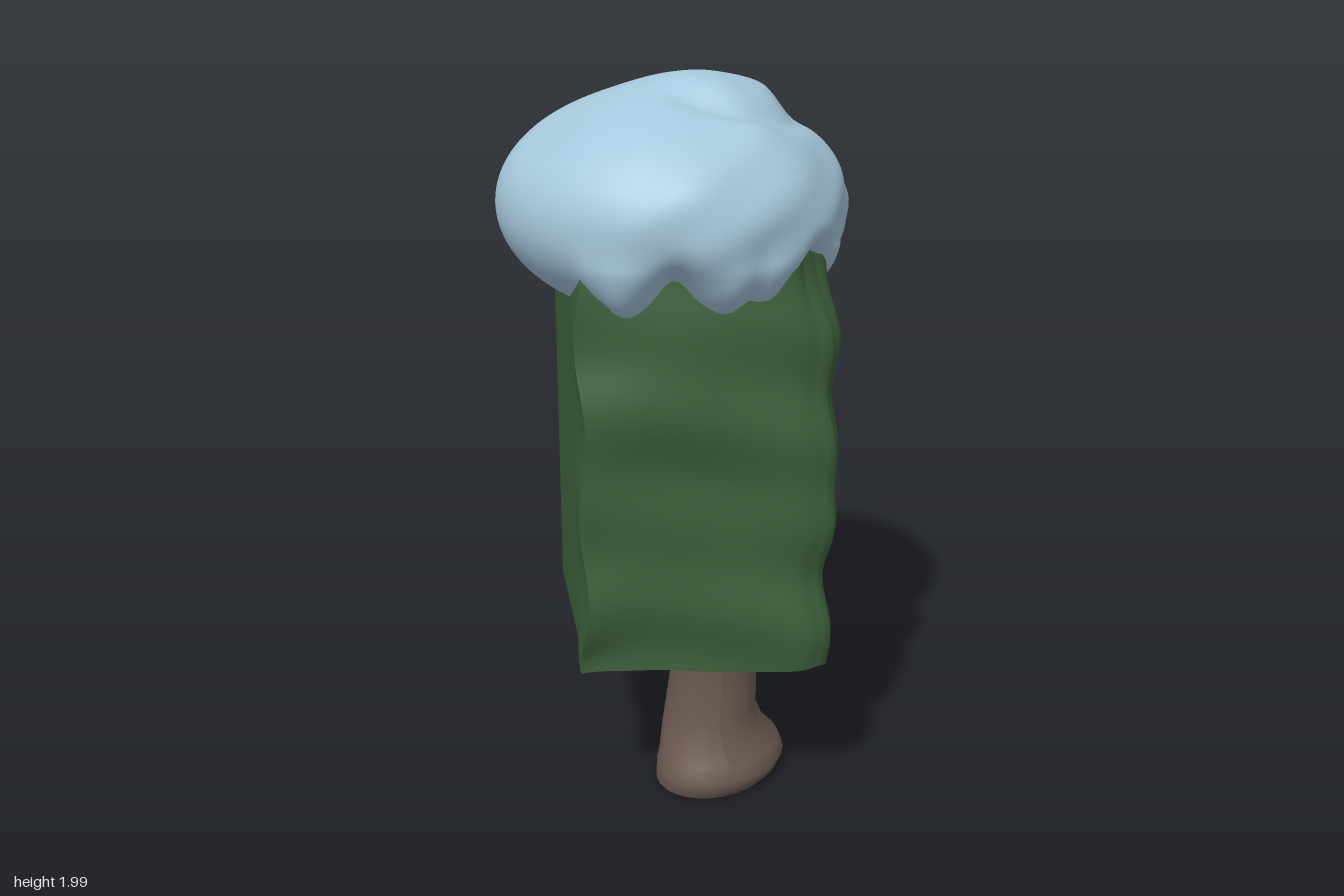
import * as THREE from 'three';
import { mergeVertices } from 'three/addons/utils/BufferGeometryUtils.js';

const { smoothstep, lerp } = THREE.MathUtils;
const bell = (d, w) => Math.exp(-(d * d) / (w * w));

function part(name, geometry, color) {
  geometry.computeVertexNormals();
  const mesh = new THREE.Mesh(geometry, new THREE.MeshStandardMaterial({ color }));
  mesh.name = name;
  return mesh;
}

// Moves every vertex of a geometry by a rule
function reshape(geometry, rule) {
  const p = geometry.attributes.position;
  const v = new THREE.Vector3();
  for (let i = 0; i < p.count; i++) {
    v.fromBufferAttribute(p, i);
    rule(v);
    p.setXYZ(i, v.x, v.y, v.z);
  }
  return geometry;
}

// Trunk outline per level, bottom to top: y, xMin, xMax, zMin, zMax
const TRUNK = [
  [0.005, -0.07, 0.28, -0.092, 0.24],
  [0.03, -0.07, 0.3, -0.09, 0.255],
  [0.06, -0.07, 0.31, -0.085, 0.26],
  [0.1, -0.06, 0.295, -0.075, 0.24],
  [0.15, -0.05, 0.25, -0.07, 0.215],
  [0.22, -0.037, 0.222, -0.055, 0.2],
  [0.34, -0.022, 0.222, -0.04, 0.195],
  [0.42, -0.024, 0.23, -0.043, 0.2],
  [0.55, -0.04, 0.25, -0.06, 0.215],
];

function trunk() {
  const rows = TRUNK.length - 1;
  const geo = new THREE.CylinderGeometry(1, 1, 1, 28, rows);
  reshape(geo, (v) => {
    const [y, x0, x1, z0, z1] = TRUNK[Math.round((v.y + 0.5) * rows)];
    // One side of the foot is chipped upward, and the foot spreads diagonally
    const chip = y < 0.05 ? 0.028 * Math.max(0, 0.6 * v.x - 0.8 * v.z) : 0;
    const skew = 0.2 * smoothstep(-y, -0.22, -0.08);
    const across = v.z * Math.cos(skew) - v.x * Math.sin(skew);
    v.set(lerp(x0, x1, (v.x + 1) / 2), y + chip, lerp(z0, z1, (across + 1) / 2));
  });
  return part('trunk', geo, 0x6b5a50);
}

// Foliage block: a four-cornered column, wavy on the front and the +x side
const A = [-0.29, -0.27], B = [0.38, -0.27], C = [0.375, 0.385], D = [-0.293, 0.34];
const TOP = 1.67;

function foliagePoint(out, x, z, t) {
  const wx = smoothstep(x, 0.12, 0.34);
  const wz = smoothstep(z, 0.12, 0.33);
  const w = Math.max(wx, wz);
  const bottom = 0.505 - 0.025 * wz - 0.006 * wx + 0.008 * w * Math.sin(11 * x + 9 * z);
  const y = lerp(bottom, TOP, t);
  // Uneven dents running around the two wavy sides
  const s = x - z;
  const dent = 0.008 * Math.sin(13 * y + 1.8 * Math.sin(6 * s + 1)) + 0.006 * Math.sin(24 * y + 4 * s)
    + 0.005 * Math.sin(10 * s - 5 * y);
  const taper = smoothstep(y, 1.25, TOP);
  const low = smoothstep(-y, -0.6, -0.5);
  const flare = 0.02 * smoothstep(-y, -0.75, -0.5);
  const nearC = bell(Math.hypot(x - C[0], z - C[1]), 0.07);
  const round = nearC * (0.03 + 0.025 * taper);
  // The edge at the back of the wavy side steps in, most of all at its foot
  const backEdge = wx * smoothstep(-z, 0, 0.27)
    * (0.03 + 0.045 * low - 0.04 * bell(y - 0.65, 0.08) - 0.02 * bell(y - 1.5, 0.12));
  const frontEdge = wz * smoothstep(-x, 0.15, 0.29);
  out.set(
    x + wx * (dent - 0.035 * taper) - round - backEdge - frontEdge * 0.01 * Math.sin(14 * y + 1.1),
    y,
    z + wz * (dent + flare * wx - 0.03 * taper) - round - frontEdge * 0.025 * low
  );
}

function foliage() {
  const group = new THREE.Group();
  group.name = 'foliage';
  const add = (name, nu, nv, map) => {
    const geo = reshape(new THREE.PlaneGeometry(1, 1, nu, nv), (v) => map(v, v.x + 0.5, v.y + 0.5));
    group.add(part(name, geo, 0x3c5f3a));
  };
  const walls = { wavyWall: [D, C, B], backWall: [B, A], flatSideWall: [A, D] };
  for (const [name, corners] of Object.entries(walls)) {
    const n = corners.length - 1;
    add(name, 24 * n, 48, (v, u, t) => {
      const k = Math.min(Math.floor(u * n + 1e-6), n - 1);
      const [p, q] = [corners[k], corners[k + 1]];
      foliagePoint(v, lerp(p[0], q[0], u * n - k), lerp(p[1], q[1], u * n - k), t);
    });
  }
  // Underside and top close the column
  const across = (v, u, f, t) =>
    foliagePoint(v, lerp(lerp(A[0], B[0], u), lerp(D[0], C[0], u), f),
      lerp(lerp(A[1], B[1], u), lerp(D[1], C[1], u), f), t);
  add('underside', 24, 24, (v, u, f) => across(v, u, f, 0));
  add('topFace', 24, 24, (v, u, f) => across(v, u, 1 - f, 1));
  return group;
}

// Drips of the snow and the notches between them:
// angle from +x towards +z in degrees, width, strength
const DRIPS = [[117, 12, 1], [77, 10, 0.85], [62, 10, 0.9], [27, 11, 0.9], [12, 9, 0.75], [-3, 10, 1]];
const NOTCHES = [[98, 8, 1], [45, 6, 1], [-20, 8, 0.9]];
const strongest = (list, deg) => Math.max(...list.map(([a, width, s]) => s * bell(deg - a, width)));

function snowCap() {
  const ball = new THREE.SphereGeometry(1, 120, 72);
  ball.deleteAttribute('uv');
  ball.deleteAttribute('normal');
  const geo = mergeVertices(ball, 1e-4);
  reshape(geo, (v) => {
    const angle = Math.atan2(v.z, v.x);
    const deg = THREE.MathUtils.radToDeg(angle);
    const flat = Math.hypot(v.x, v.z);
    if (v.y < 0) {
      // Drips stay just outside the foliage before they curl in
      const drip = strongest(DRIPS, deg) * smoothstep(-v.y, 0, 0.4);
      const reach = Math.max(1.025, 0.86 / Math.max(Math.abs(Math.cos(angle)), Math.abs(Math.sin(angle))));
      const r = Math.pow(flat, lerp(1, 0.3, drip)) * lerp(1, Math.min(reach, 1.05), drip);
      const height = lerp(0.29, 0.25, drip) - 0.1 * strongest(NOTCHES, deg);
      v.set(-0.01 + 0.45 * r * Math.cos(angle), 1.67 + height * v.y, 0.443 * r * Math.sin(angle));
    } else {
      v.set(-0.01 + 0.45 * v.x, 1.67 + 0.29 * v.y, 0.443 * v.z);
    }
    // A raised crown ends in a wavering furrow towards the front; the back is smooth
    const { x, z } = v;
    const up = smoothstep(v.y, 1.7, 1.85);
    const turn = Math.atan2(z + 0.04, x - 0.1);
    const fromCrown = Math.hypot(x - 0.1, z + 0.04) + 0.02 * Math.sin(3 * turn + 1);
    const forward = smoothstep(x + z, -0.05, 0.22);
    v.y += up * (0.022 * forward * (1 - smoothstep(fromCrown, 0.15, 0.24))
      - 0.016 * forward * bell(fromCrown - 0.23, 0.04)
      + 0.033 * bell(Math.hypot(x - 0.04, z), 0.16)
      + 0.012 * bell(Math.hypot(x - 0.23, z + 0.02), 0.08)
      + 0.018 * bell(Math.hypot(x - 0.17, z - 0.27), 0.09)
      - 0.02 * bell(Math.hypot(x + 0.33, z - 0.08), 0.09));
    // Lumps on the front and the +x side
    const front = smoothstep(x + z, 0.1, 0.4) * smoothstep(v.y, 1.45, 1.6);
    const push = 1 + 0.015 * front * Math.sin(9 * angle + 14 * v.y) * Math.sin(22 * v.y);
    v.x = v.x * push + 0.015 * bell(deg, 9) * bell(v.y - 1.65, 0.06);
    v.z *= push;
  });
  return part('snowCap', geo, 0xa6c8dc);
}

export function createModel() {
  const model = new THREE.Group();
  model.name = 'snowyTree';
  model.add(trunk(), foliage(), snowCap());
  return model;
}
